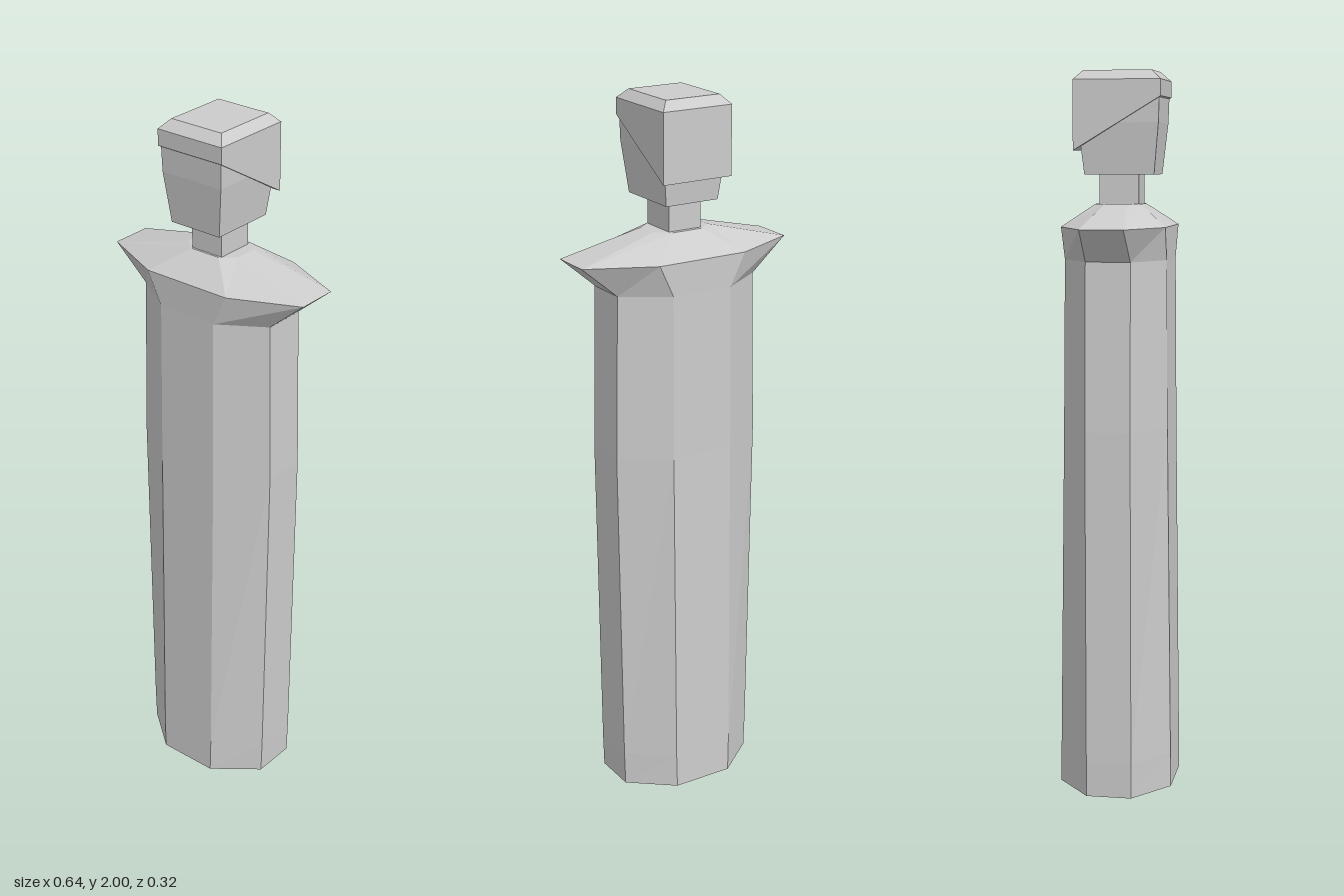
import * as THREE from 'three';

// Skin a stack of rings (bottom to top, each listed counter-clockwise from above).
function loft(rings, capBottom, capTop) {
  const pos = [];
  const tri = (a, b, c) => pos.push(...a, ...b, ...c);
  const n = rings[0].length;
  for (let r = 0; r < rings.length - 1; r++) {
    for (let i = 0; i < n; i++) {
      const j = (i + 1) % n;
      const a = rings[r][i], b = rings[r][j], c = rings[r + 1][j], d = rings[r + 1][i];
      tri(a, b, c);
      tri(a, c, d);
    }
  }
  const low = rings[0], high = rings[rings.length - 1];
  for (let i = 1; i < n - 1; i++) {
    if (capBottom) tri(low[0], low[i + 1], low[i]);
    if (capTop) tri(high[0], high[i], high[i + 1]);
  }
  const geo = new THREE.BufferGeometry();
  geo.setAttribute('position', new THREE.Float32BufferAttribute(pos, 3));
  geo.computeVertexNormals();
  return geo;
}

// Eight-sided ring: side faces at x = sx (half depth sz), front and back at z = fz (half width fx).
const octagon = (y, sx, sz, fx, fz) => [
  [fx, y, fz], [sx, y, sz], [sx, y, -sz], [fx, y, -fz],
  [-fx, y, -fz], [-sx, y, -sz], [-sx, y, sz], [-fx, y, fz],
];

// Four-sided ring whose front and back edges may sit at different heights.
const rect = (yFront, yBack, x, zFront, zBack) => [
  [x, yFront, zFront], [x, yBack, zBack], [-x, yBack, zBack], [-x, yFront, zFront],
];

export function createModel() {
  const grey = new THREE.MeshStandardMaterial({ color: 0xcccccc });
  grey.name = 'plain grey';
  grey.flatShading = true;
  grey.side = THREE.DoubleSide;

  const model = new THREE.Group();
  model.name = 'robedFigure';
  const add = (name, geometry) => {
    const mesh = new THREE.Mesh(geometry, grey);
    mesh.name = name;
    model.add(mesh);
  };

  // Long robe, open at the hem
  add('robe', loft([
    octagon(0, 0.208, 0.063, 0.088, 0.158),
    octagon(0.1, 0.211, 0.063, 0.09, 0.157),
    octagon(1.03, 0.224, 0.062, 0.092, 0.145),
    octagon(1.49, 0.215, 0.061, 0.09, 0.141),
  ], false, false));

  // Flared shoulder collar
  add('shoulders', loft([
    octagon(1.49, 0.215, 0.061, 0.09, 0.141),
    octagon(1.58, 0.32, 0.059, 0.133, 0.143),
    octagon(1.64, 0.085, 0.032, 0.045, 0.064),
  ], false, true));

  // Neck
  const neck = new THREE.BoxGeometry(0.1, 0.12, 0.11);
  neck.translate(0, 1.67, 0.003);
  add('neck', neck);

  // Tapered head
  add('head', loft([
    rect(1.72, 1.72, 0.08, 0.104, -0.088),
    rect(1.86, 1.86, 0.097, 0.118, -0.103),
    rect(1.95, 1.95, 0.099, 0.121, -0.108),
  ], true, true));

  // Cap of hair, low at the back, with a bevelled top
  add('hair', loft([
    rect(1.93, 1.785, 0.105, 0.125, -0.115),
    rect(1.975, 1.975, 0.105, 0.125, -0.115),
    rect(2, 2, 0.082, 0.098, -0.09),
  ], true, true));

  return model;
}
